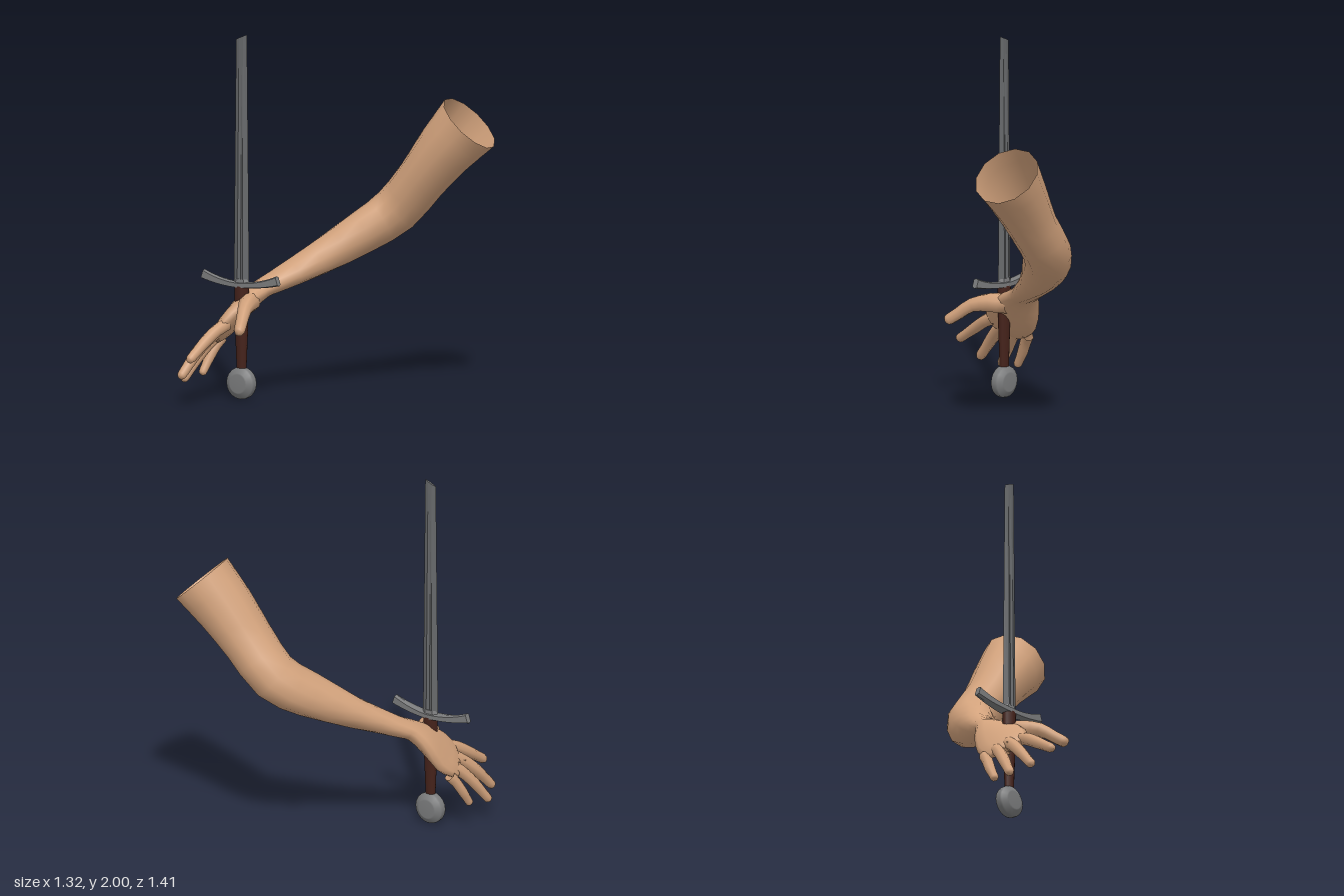
import * as THREE from 'three';

const V = (a) => new THREE.Vector3(...a);
const material = (name, color, side = THREE.FrontSide) => {
  const m = new THREE.MeshStandardMaterial({ color, side });
  m.name = name;
  return m;
};

// Points of one cross-section, counter-clockwise about the tangent T
function ring(center, T, side, outline) {
  const S = side.clone().addScaledVector(T, -side.dot(T)).normalize();
  const N = T.clone().cross(S);
  return outline.map(([u, v]) => center.clone().addScaledVector(S, u).addScaledVector(N, v));
}

// Skin a row of rings, optionally closing both ends
function skin(rings, caps = false) {
  const n = rings[0].length, pos = [], index = [];
  rings.forEach((r) => r.forEach((p) => pos.push(p.x, p.y, p.z)));
  for (let i = 0; i < rings.length - 1; i++) {
    for (let j = 0; j < n; j++) {
      const a = i * n + j, b = i * n + (j + 1) % n;
      index.push(a, b, a + n, b, b + n, a + n);
    }
  }
  if (caps) {
    [0, rings.length - 1].forEach((i) => {
      const c = new THREE.Vector3();
      rings[i].forEach((p) => c.addScaledVector(p, 1 / n));
      const k = pos.push(c.x, c.y, c.z) / 3 - 1;
      for (let j = 0; j < n; j++) {
        const a = i * n + j, b = i * n + (j + 1) % n;
        if (i) index.push(a, b, k); else index.push(b, a, k);
      }
    });
  }
  const g = new THREE.BufferGeometry();
  g.setAttribute('position', new THREE.Float32BufferAttribute(pos, 3));
  g.setIndex(index);
  g.computeVertexNormals();
  return g;
}

const flat = (g) => {
  const f = g.toNonIndexed();
  f.computeVertexNormals();
  return f;
};

// Smooth limb through stations [center, side direction, half width, half thickness]
function limb(stations, sides, steps) {
  const curve = (pts) => new THREE.CatmullRomCurve3(pts, false, 'catmullrom', 0.5);
  const path = curve(stations.map((s) => V(s[0])));
  const turn = curve(stations.map((s) => V(s[1])));
  const size = curve(stations.map((s) => V([s[2], s[3], 0])));
  const rings = [], count = (stations.length - 1) * steps;
  for (let i = 0; i <= count; i++) {
    const t = i / count, r = size.getPoint(t);
    const outline = Array.from({ length: sides }, (_, j) => {
      const a = (j / sides) * Math.PI * 2;
      return [Math.max(r.x, 0) * Math.cos(a), Math.max(r.y, 0) * Math.sin(a)];
    });
    rings.push(ring(path.getPoint(t), path.getTangent(t), turn.getPoint(t), outline));
  }
  return skin(rings);
}

export function createModel() {
  const group = new THREE.Group();
  const skinTone = material('skin', 0xd2a27c, THREE.DoubleSide);
  const steel = material('blade steel', 0x67696b);
  const fitting = material('fitting steel', 0x7a7b7c);
  const leather = material('grip leather', 0x45221a);
  const add = (name, geometry, mat) => {
    const mesh = new THREE.Mesh(geometry, mat);
    mesh.name = name;
    group.add(mesh);
    return mesh;
  };

  // Arm, from the open upper end through elbow and wrist to the knuckles
  const bend = [-0.78, 0.6, -0.2], palm = [-0.54, -0.45, -0.65];
  add('arm', limb([
    [[0.515, 1.485, -0.535], bend, 0.187, 0.175],
    [[0.375, 1.33, -0.505], bend, 0.157, 0.165],
    [[0.24, 1.16, -0.48], bend, 0.132, 0.15],
    [[0.09, 0.985, -0.455], bend, 0.128, 0.142],
    [[-0.04, 0.865, -0.32], bend, 0.112, 0.128],
    [[-0.2, 0.73, -0.12], [-0.83, 0.33, -0.45], 0.098, 0.086],
    [[-0.34, 0.622, 0.07], [-0.81, 0.05, -0.55], 0.088, 0.058],
    [[-0.385, 0.585, 0.145], [-0.78, -0.05, -0.58], 0.092, 0.052],
    [[-0.43, 0.52, 0.22], [-0.65, -0.25, -0.65], 0.125, 0.058],
    [[-0.475, 0.43, 0.3], palm, 0.145, 0.052],
    [[-0.51, 0.365, 0.365], palm, 0.125, 0.04],
    [[-0.525, 0.34, 0.395], palm, 0.085, 0.018],
    [[-0.527, 0.337, 0.398], palm, 0, 0],
  ], 12, 2), skinTone);

  // Fingers and thumb: base, middle, tip, radius
  const digits = {
    indexFinger: [[-0.445, 0.42, 0.4], [-0.475, 0.345, 0.55], [-0.49, 0.25, 0.7], 0.034],
    middleFinger: [[-0.505, 0.38, 0.38], [-0.56, 0.265, 0.52], [-0.59, 0.14, 0.635], 0.034],
    ringFinger: [[-0.545, 0.345, 0.33], [-0.605, 0.225, 0.44], [-0.645, 0.105, 0.525], 0.032],
    littleFinger: [[-0.565, 0.32, 0.26], [-0.6, 0.215, 0.33], [-0.615, 0.125, 0.385], 0.029],
    thumb: [[-0.385, 0.53, 0.25], [-0.305, 0.51, 0.43], [-0.245, 0.405, 0.575], 0.04],
  };
  for (const [name, [base, middle, tip, r]] of Object.entries(digits)) {
    const b = V(base), m = V(middle), t = V(tip);
    const at = (k) => m.clone().lerp(t, k).toArray();
    const first = name === 'thumb' ? 1.4 : 1.1;
    add(name, limb([
      [base, palm, r * first, r * first],
      [b.clone().lerp(m, 0.5).add(new THREE.Vector3(0, 0.008, 0)).toArray(), palm, r * first * 0.95, r * first * 0.9],
      [middle, palm, r, r * 0.95],
      [at(0.5), palm, r * 0.85, r * 0.82],
      [at(0.85), palm, r * 0.8, r * 0.75],
      [at(0.96), palm, r * 0.5, r * 0.45],
      [tip, palm, 0, 0],
    ], 8, 2), skinTone);
  }

  // Blade with a shallow groove, tapering to a slanted end
  const sx = -0.412, sz = 0.297;
  const up = V([0, 1, 0]), right = V([1, 0, 0]);
  const bladeRing = (y, w, t, slant = 0, groove = 0.55) => ring(V([sx, y, sz]), up, right, [
    [w, 0], [w * 0.35, t], [0, t * groove], [-w * 0.35, t],
    [-w, 0], [-w * 0.35, -t], [0, -t * groove], [w * 0.35, -t],
  ]).map((p) => p.setY(p.y + slant * (p.x - sx) / w));
  add('blade', flat(skin([
    bladeRing(0.62, 0.05, 0.017),
    bladeRing(1.3, 0.043, 0.012),
    bladeRing(1.92, 0.036, 0.007, 0, 1),
    bladeRing(1.985, 0.035, 0.006, 0.015, 1),
  ], true)), steel);

  // Crossguard curving up towards flared ends
  const guard = [];
  for (let i = 0; i <= 16; i++) {
    const s = i / 8 - 1, q = s * s, h = 0.016 + 0.012 * q, d = 0.031 - 0.015 * Math.abs(s);
    const tangent = V([0.243, 0.08 * s, 0]).normalize();
    guard.push(ring(V([sx - 0.006 + 0.243 * s, 0.626 + 0.04 * q, sz]), tangent, up, [
      [h, 0], [h * 0.75, d], [-h * 0.75, d], [-h, 0], [-h * 0.75, -d], [h * 0.75, -d],
    ]));
  }
  add('crossguard', flat(skin(guard, true)), fitting);

  // Collar where the blade meets the guard
  const collar = add('collar', flat(new THREE.CylinderGeometry(0.045, 0.055, 0.03, 6)), fitting);
  collar.scale.z = 0.5;
  collar.rotation.y = Math.PI / 2;
  collar.scale.set(0.45, 1, 1);
  collar.position.set(sx, 0.645, sz);

  // Oval grip, wider near the guard
  const profile = [[0.028, 0.15], [0.032, 0.25], [0.038, 0.4], [0.041, 0.52], [0.042, 0.62]];
  const grip = add('grip', new THREE.LatheGeometry(profile.map((p) => new THREE.Vector2(...p)), 12), leather);
  grip.scale.z = 0.78;
  grip.position.set(sx, 0, sz);

  // Disc pommel with bevelled faces
  const disc = [[0, -0.042], [0.05, -0.042], [0.058, -0.038], [0.084, -0.022], [0.088, -0.012],
    [0.088, 0.012], [0.084, 0.022], [0.058, 0.038], [0.05, 0.042], [0, 0.042]];
  const pommel = add('pommel', new THREE.LatheGeometry(disc.map((p) => new THREE.Vector2(...p)), 20), fitting);
  pommel.rotation.x = Math.PI / 2;
  pommel.position.set(sx, 0.088, sz);

  return group;
}
